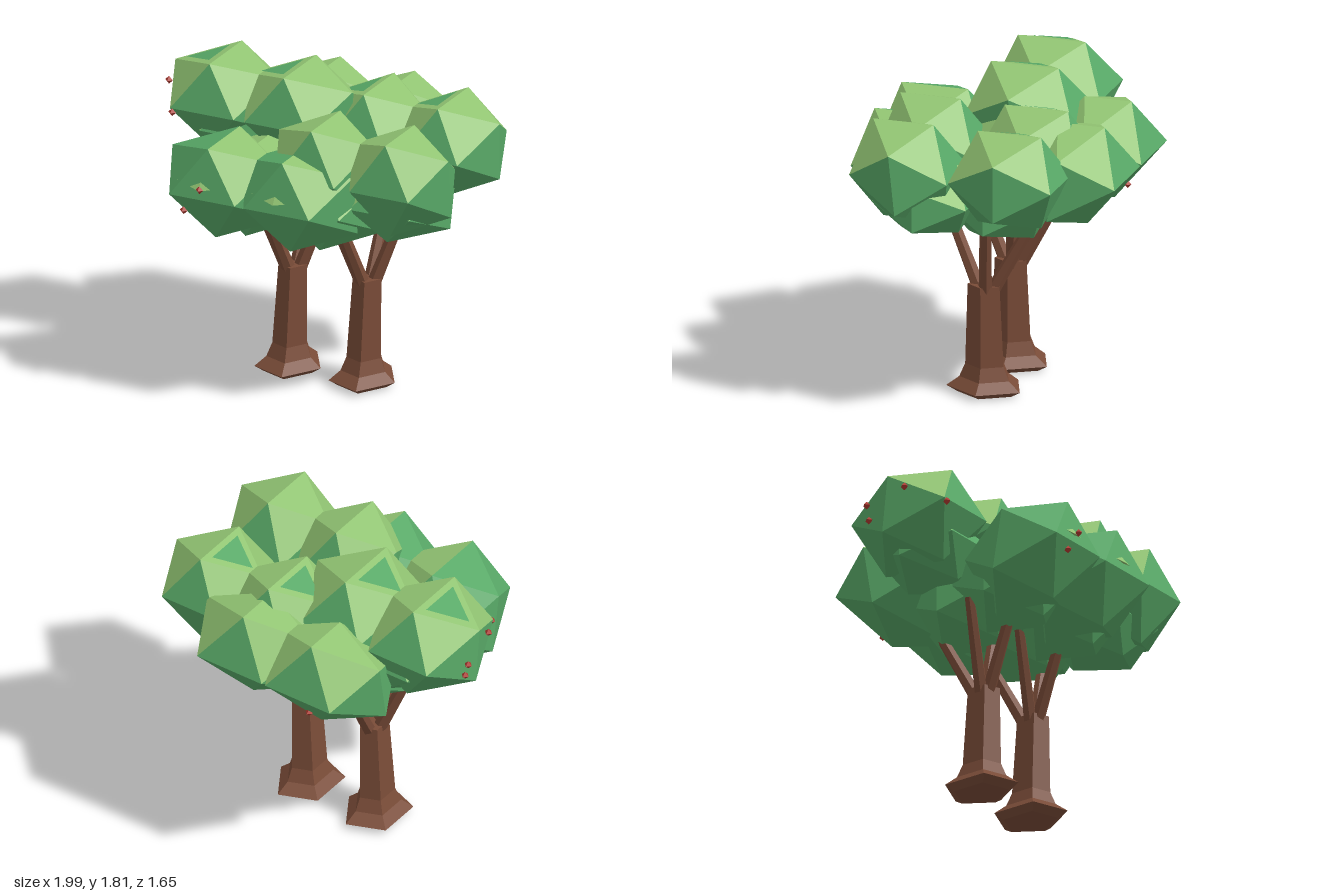
import * as THREE from 'three';

const mat = (name, color) => {
  const m = new THREE.MeshStandardMaterial({ color, flatShading: true });
  m.name = name;
  return m;
};

export function createModel() {
  const bark = mat('bark brown', 0x7a4c38);
  const lime = mat('sunny leaf green', 0x92c573);
  const green = mat('leaf green', 0x59aa68);
  const red = mat('berry red', 0xb03a30);
  const model = new THREE.Group();
  const add = (parent, name, geo, material, x = 0, y = 0, z = 0) => {
    const m = new THREE.Mesh(geo, material);
    m.name = name;
    m.position.set(x, y, z);
    parent.add(m);
    return m;
  };

  // Slant a shape so that x and z shift with height
  const slant = (geo, x, z) => {
    geo.applyMatrix4(new THREE.Matrix4().makeShear(0, 0, x, z, 0, 0));
    geo.computeVertexNormals();
    return geo;
  };

  // Leaf cluster: squashed icosahedron, upper faces sunny, the rest green;
  // ridge shortens its top and bottom edges
  const PEAK = 0.8507; // extent of a unit icosahedron along each axis
  function cluster([hx, hy, hz], lean, ridge, isSunny) {
    const g = new THREE.IcosahedronGeometry(1, 0);
    g.rotateY(Math.PI / 2);
    g.computeVertexNormals();
    const n = g.attributes.normal, p = g.attributes.position;
    for (let i = 0; i < n.count; i += 3) {
      g.addGroup(i, 3, isSunny(n.getX(i), n.getY(i)) ? 0 : 1);
    }
    for (let i = 0; i < p.count; i++) {
      if (Math.abs(p.getY(i)) > 0.8) p.setZ(i, p.getZ(i) * ridge);
    }
    g.scale(hx / PEAK, hy / PEAK, hz / PEAK);
    return slant(g, 0, lean / hy);
  }

  // Green inset patch on the right-hand top face of a cluster
  function patch([hx, hy, hz], lean) {
    const k = 0.618;
    const pts = [[0, hy, hz * k], [0, hy, -hz * k], [-hx, hy * k, 0]].map(p => new THREE.Vector3(...p));
    const c = new THREE.Vector3().add(pts[0]).add(pts[1]).add(pts[2]).divideScalar(3);
    pts.forEach(p => p.lerp(c, 0.35).add(new THREE.Vector3(-0.002, 0.005, 0)));
    return slant(new THREE.BufferGeometry().setFromPoints(pts), 0, lean / hy);
  }

  // Tapered limb between two points
  function limb(parent, a, b, r0, r1) {
    const from = new THREE.Vector3(...a), to = new THREE.Vector3(...b);
    const dir = to.clone().sub(from);
    const m = add(parent, 'branch', new THREE.CylinderGeometry(r1, r0, dir.length(), 6), bark);
    m.position.copy(from).addScaledVector(dir, 0.5);
    m.quaternion.setFromUnitVectors(new THREE.Vector3(0, 1, 0), dir.normalize());
  }

  const upper = (nx, ny) => ny > 0.5;
  const upperLeft = (nx, ny) => ny > 0.5 && nx > 0;
  // name, centre, half sizes, forward lean of the top, ridge length, sunny rule, has patch
  const clusters = [
    ['topLeaves', [-0.635, 1.54, -0.105], [0.325, 0.27, 0.325], 0.03, 1, upper, true],
    ['frontLeaves', [-0.34, 1.275, 0.47], [0.335, 0.285, 0.32], 0.05, 1, upperLeft, false],
    ['frontLeftLeaves', [0.22, 1.42, 0.325], [0.3, 0.285, 0.29], 0.03, 1, upper, false],
    ['backLeftLeaves', [0.23, 1.435, -0.28], [0.295, 0.27, 0.305], 0, 1, upper, true],
    ['backLeaves', [-0.225, 1.35, -0.5], [0.36, 0.29, 0.325], -0.05, 0.7, upper, false],
    ['lowerLeftLeaves', [0.16, 1.26, 0.22], [0.31, 0.2, 0.28], 0, 1, upper, false],
    ['lowerFrontLeaves', [-0.23, 1.22, 0.27], [0.3, 0.255, 0.32], 0, 1, upper, false],
    ['lowerBackLeaves', [-0.13, 1.22, -0.11], [0.33, 0.25, 0.31], 0, 1, upper, false],
    ['lowerRightLeaves', [-0.48, 1.41, -0.12], [0.325, 0.2, 0.28], 0, 1, upper, false],
  ];
  const trunkProfile = [[0, 0], [0.17, 0], [0.23, 0.035], [0.155, 0.09], [0.12, 0.17], [0.1, 0.65], [0, 0.65]];
  const branchEnds = [[-0.24, 1.12, 0.08], [0.22, 1.15, -0.08], [-0.02, 1.1, -0.31], [-0.07, 1.12, 0.27]];

  // Two matching trees side by side
  for (const side of [0, 1]) {
    const tree = new THREE.Group();
    tree.name = side ? 'leftTree' : 'rightTree';
    tree.position.x = side * 0.47;
    model.add(tree);

    // Five-sided flared trunk with one edge facing left
    const trunk = new THREE.LatheGeometry(trunkProfile.map(p => new THREE.Vector2(...p)), 5);
    trunk.rotateY(Math.PI / 2).scale(0.84, 1, 1);
    add(tree, 'trunk', slant(trunk, 0.04, 0), bark, -0.19);
    for (const [x, y, z] of branchEnds) {
      limb(tree, [-0.165 + x * 0.15, 0.62, z * 0.15], [-0.165 + x, y, z], 0.04, 0.03);
    }
    for (const [name, centre, half, lean, ridge, rule, patched] of clusters) {
      add(tree, name, cluster(half, lean, ridge, rule), [lime, green], ...centre);
      if (patched) add(tree, name + 'Patch', patch(half, lean), green, ...centre);
    }
    // Small leaf tuft poking out at the front
    const tuft = new THREE.OctahedronGeometry(1, 0);
    tuft.scale(0.16, 0.03, 0.055).rotateX(0.5);
    add(tree, 'leafTuft', tuft, lime, -0.36, 1.355, 0.745);
  }

  // Berries
  const berries = [
    [-0.35, 1.34, 0.8], [-0.45, 1.2, 0.8], [-0.976, 1.555, -0.22], [-0.955, 1.47, -0.22],
    [-0.945, 1.62, 0.02], [-0.82, 1.52, 0.225], [-0.2, 1.155, -0.675],
  ];
  for (const p of berries) add(model, 'berry', new THREE.OctahedronGeometry(0.024, 0), red, ...p);

  return model;
}
